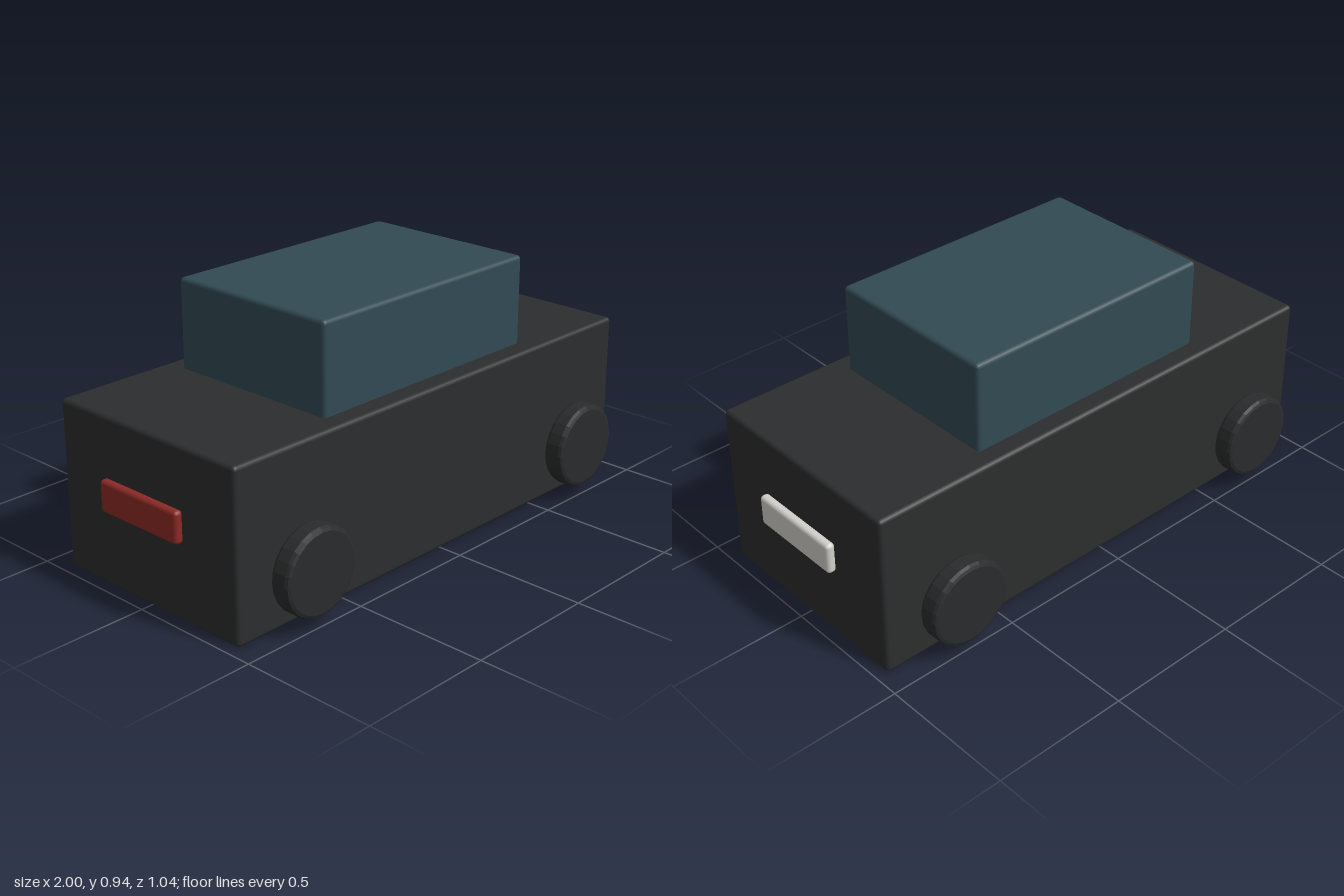
import * as THREE from 'three';
import { RoundedBoxGeometry } from 'three/addons/geometries/RoundedBoxGeometry.js';

const paint = (color, flatShading = false) => new THREE.MeshStandardMaterial({ color, flatShading });

export function createModel() {
  const car = new THREE.Group();
  car.name = 'car';

  const add = (name, geometry, material, x, y, z) => {
    const mesh = new THREE.Mesh(geometry, material);
    mesh.name = name;
    mesh.position.set(x, y, z);
    car.add(mesh);
    return mesh;
  };
  const box = (w, h, d, r) => new RoundedBoxGeometry(w, h, d, 2, r);

  // Body and the cabin sunk slightly into its top
  add('body', box(1.92, 0.61, 0.83, 0.015), paint(0x2c2d2e), 0, 0.305, 0);
  add('cabin', box(0.995, 0.35, 0.68, 0.015), paint(0x314a53), 0, 0.76, 0);

  // Pale headlight bar at +x, red tail light bar at -x
  const lamp = box(0.034, 0.115, 0.37, 0.014);
  add('headlight', lamp, paint(0xd2d0ca), 0.983, 0.345, 0);
  add('tailLight', lamp, paint(0x8c2a26), -0.983, 0.345, 0);

  // Wheels: bevelled discs standing just clear of the body sides
  const r = 0.155, h = 0.0385, bevel = 0.015;
  const profile = [
    [0, -h], [r - bevel, -h], [r - bevel * 0.3, -h + bevel * 0.3], [r, -h + bevel],
    [r, h - bevel], [r - bevel * 0.3, h - bevel * 0.3], [r - bevel, h], [0, h],
  ].map(([x, y]) => new THREE.Vector2(x, y));
  const wheel = new THREE.LatheGeometry(profile, 24).rotateX(Math.PI / 2);
  const rubber = paint(0x2a2b2c, true);
  for (const [end, x] of [['front', 0.69], ['rear', -0.695]]) {
    for (const [side, z] of [['Near', 0.482], ['Far', -0.482]]) {
      add(end + side + 'Wheel', wheel, rubber, x, 0.2, z);
    }
  }

  return car;
}
